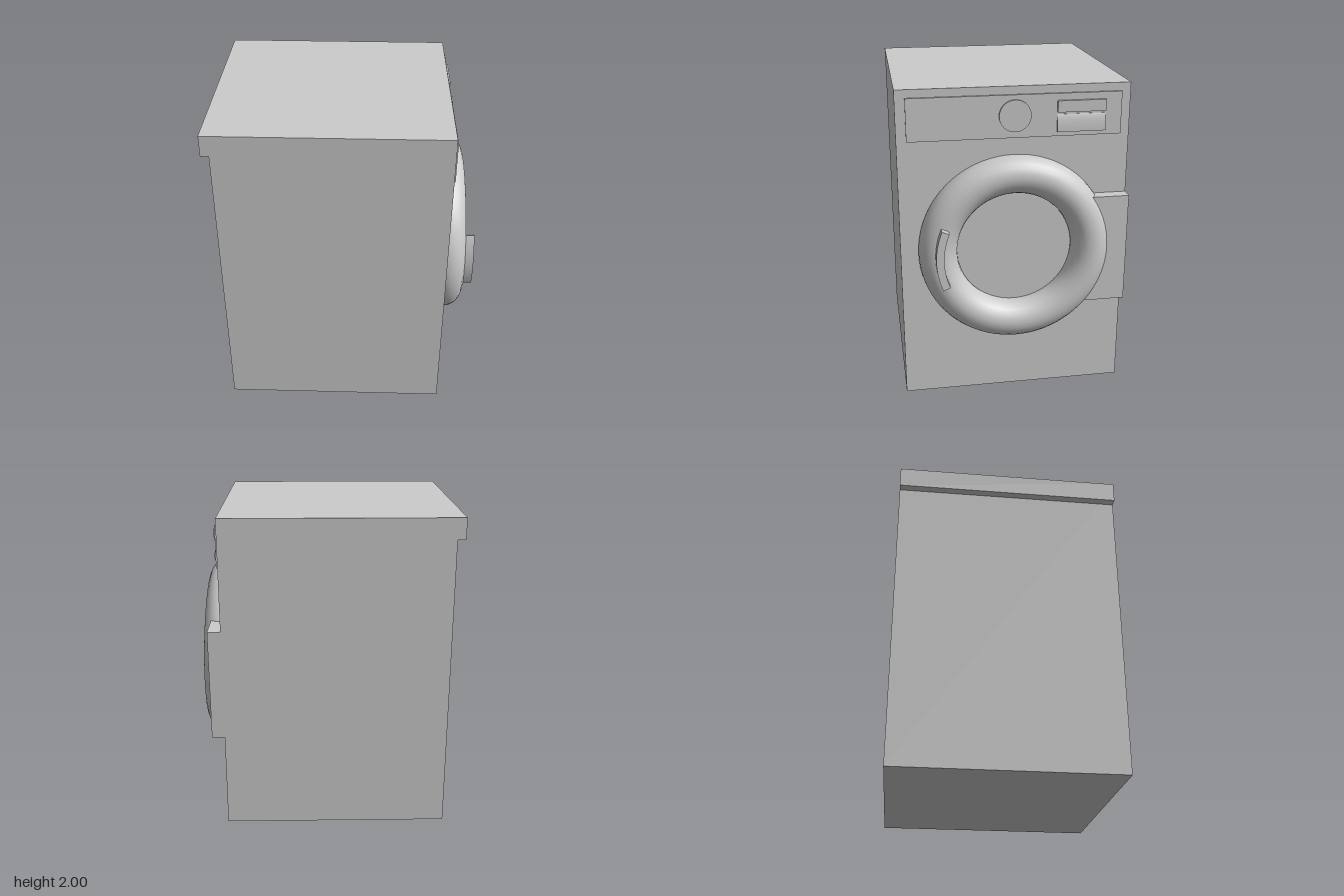
import * as THREE from 'three';

const material = new THREE.MeshStandardMaterial({ color: 0xcccccc });

function add(parent, name, geometry) {
  const mesh = new THREE.Mesh(geometry, material);
  mesh.name = name;
  parent.add(mesh);
  return mesh;
}

// Box given by its minimum and maximum corners
function box(parent, name, [x0, y0, z0], [x1, y1, z1]) {
  const mesh = add(parent, name, new THREE.BoxGeometry(x1 - x0, y1 - y0, z1 - z0));
  mesh.position.set((x0 + x1) / 2, (y0 + y1) / 2, (z0 + z1) / 2);
  return mesh;
}

export function createModel() {
  const washer = new THREE.Group();
  washer.name = 'washingMachine';

  // Cabinet with the worktop overhang at the back; the door side faces +x
  box(washer, 'cabinet', [-0.775, 0, -0.705], [0.63, 2, 0.705]);
  box(washer, 'rearOverhang', [-0.825, 1.87, -0.705], [-0.775, 2, 0.705]);

  // Control panel with dial
  box(washer, 'controlPanel', [0.62, 1.69, -0.65], [0.643, 1.95, 0.645]);
  const dial = add(washer, 'dial', new THREE.CylinderGeometry(0.097, 0.097, 0.025, 48));
  dial.rotation.z = -Math.PI / 2;
  dial.position.set(0.643, 1.825, 0);

  // Detergent drawer: upper label bar and lower scooped grip
  box(washer, 'drawerBar', [0.635, 1.838, -0.55], [0.66, 1.908, -0.255]);
  const grip = new THREE.Shape();
  grip.moveTo(0.635, 1.718);
  grip.lineTo(0.66, 1.718);
  grip.quadraticCurveTo(0.66, 1.79, 0.646, 1.825);
  grip.lineTo(0.635, 1.825);
  add(washer, 'drawerGrip', new THREE.ExtrudeGeometry(grip, {
    depth: 0.295, bevelEnabled: false, curveSegments: 8,
  })).position.z = -0.55;

  // Hinge block running from the door ring to the cabinet edge
  box(washer, 'hinge', [0.62, 0.61, -0.705], [0.71, 1.31, -0.45]);

  // Door, leaning back slightly
  const door = new THREE.Group();
  door.name = 'door';
  door.rotation.set(0, Math.PI / 2, 0.024, 'ZYX');
  door.position.set(0.648, 0.988, 0);
  washer.add(door);
  add(door, 'doorRing', new THREE.TorusGeometry(0.478, 0.119, 24, 80));

  // Arched handle on the ring, opposite the hinge
  const half = 0.39;
  const arc = new THREE.Shape();
  arc.absarc(0, 0, 0.502, Math.PI - half, Math.PI + half, false);
  arc.absarc(0, 0, 0.454, Math.PI + half, Math.PI - half, true);
  add(door, 'doorHandle', new THREE.ExtrudeGeometry(arc, {
    depth: 0.08, bevelEnabled: false, curveSegments: 16,
  })).position.z = 0.09;

  return washer;
}
